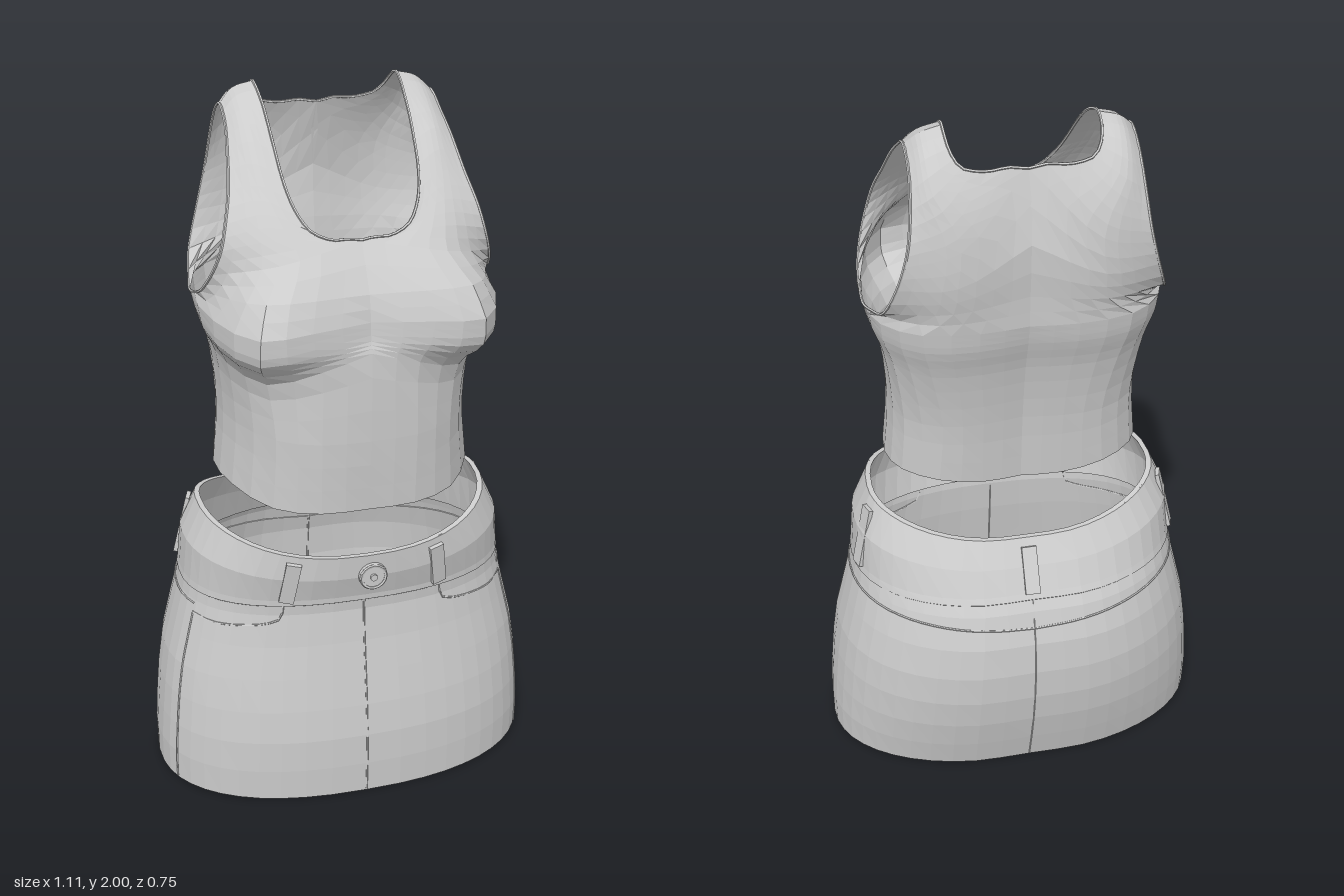
import * as THREE from 'three';

const V = (x, y, z) => new THREE.Vector3(x, y, z);
const flip = p => V(-p.x, p.y, p.z);
const fabric = new THREE.MeshStandardMaterial({ color: 0xcccccc, flatShading: true, side: THREE.DoubleSide });
fabric.name = 'grey fabric';

function addMesh(group, name, geometry) {
  const mesh = new THREE.Mesh(geometry, fabric);
  mesh.name = name;
  group.add(mesh);
  return mesh;
}

// Surface through a grid of points: rows run up, columns run to the right
function gridGeometry(rows) {
  const n = rows[0].length, index = [];
  for (let i = 0; i < rows.length - 1; i++)
    for (let j = 0; j < n - 1; j++) {
      const a = i * n + j, b = a + n;
      index.push(a, a + 1, b, a + 1, b + 1, b);
    }
  const g = new THREE.BufferGeometry().setFromPoints(rows.flat());
  g.setIndex(index);
  g.computeVertexNormals();
  return g;
}

// Smooth resampling along one list of points, and along the columns of a grid
function resample(points, steps) {
  const curve = new THREE.CatmullRomCurve3(points);
  return Array.from({ length: steps + 1 }, (_, i) => curve.getPoint(i / steps));
}
function refineRows(rows, perRow) {
  const cols = rows[0].map((_, j) => resample(rows.map(r => r[j]), (rows.length - 1) * perRow));
  return cols[0].map((_, i) => cols.map(c => c[i]));
}

function cord(group, name, points, radius, closed) {
  const curve = new THREE.CatmullRomCurve3(points, closed);
  return addMesh(group, name, new THREE.TubeGeometry(curve, points.length * 2, radius, 5, closed));
}

// Joins a half outline starting and ending on the centre plane with its mirror
const closeHalf = half => [...half, ...half.slice(1, -1).reverse().map(flip)];

// ---------- Tank top ----------

// Half rings from front centre to back centre: [heights, x, z]
const BODY = [
  [[.94, .94, .945, .965, .972, .975, .965, .945, .94],
    [0, .13, .25, .335, .36, .325, .23, .11, 0], [.33, .325, .27, .14, 0, -.1, -.16, -.165, -.15]],
  [[1.15, 1.15, 1.15, 1.15, 1.15, 1.15, 1.15, 1.15, 1.15],
    [0, .13, .24, .32, .345, .315, .22, .11, 0], [.345, .335, .275, .14, 0, -.11, -.175, -.185, -.17]],
  [[1.4, 1.36, 1.31, 1.33, 1.34, 1.34, 1.33, 1.33, 1.33],
    [0, .13, .26, .34, .36, .34, .25, .12, 0], [.345, .34, .27, .15, 0, -.13, -.205, -.22, -.205]],
  [[1.43, 1.415, 1.4, 1.41, 1.42, 1.42, 1.42, 1.42, 1.42],
    [0, .15, .295, .378, .39, .365, .27, .13, 0], [.335, .362, .36, .2, 0, -.14, -.23, -.25, -.235]],
  [[1.48, 1.48, 1.475, 1.475, 1.475, 1.475, 1.48, 1.48, 1.48],
    [0, .16, .295, .382, .4, .37, .275, .13, 0], [.33, .365, .37, .2, -.03, -.15, -.24, -.262, -.25]],
];

// Strap rows running up the chest, over the shoulder and down the back:
// neckline edge, middle, armhole edge
const STRAP = [
  [0, 1.55, .315, .27, 1.555, .33, .395, 1.515, .09],
  [0, 1.67, .24, .22, 1.63, .268, .375, 1.58, .155],
  [.07, 1.675, .24, .225, 1.685, .23, .352, 1.65, .178],
  [.13, 1.7, .225, .235, 1.74, .188, .335, 1.715, .16],
  [.17, 1.77, .172, .245, 1.8, .135, .315, 1.785, .11],
  [.185, 1.87, .078, .25, 1.89, .05, .3, 1.865, .035],
  [.19, 1.96, -.03, .25, 1.95, -.035, .29, 1.915, -.03],
  [.195, 2, -.13, .25, 1.985, -.13, .288, 1.95, -.11],
  [.19, 1.965, -.19, .25, 1.945, -.2, .288, 1.91, -.19],
  [.165, 1.925, -.22, .24, 1.87, -.25, .295, 1.83, -.235],
  [.1, 1.912, -.225, .2, 1.8, -.275, .305, 1.75, -.257],
  [0, 1.908, -.22, .18, 1.73, -.285, .318, 1.69, -.258],
  [0, 1.72, -.265, .19, 1.63, -.285, .338, 1.62, -.245],
  [0, 1.57, -.255, .2, 1.55, -.27, .37, 1.53, -.195],
];

function buildTop() {
  const top = new THREE.Group();
  top.name = 'tankTop';

  const rings = BODY.map(([y, x, z]) => resample(x.map((v, i) => V(v, y[i], z[i])), 16));
  const body = refineRows(rings, 3);
  const armpit = rings[rings.length - 1];
  const straps = STRAP.map(r => resample([0, 3, 6].map(k => V(r[k], r[k + 1], r[k + 2])), 8));
  const upper = refineRows([armpit.slice(0, 9), ...straps, armpit.slice(8).reverse()], 2);

  for (const [side, mirrored] of [['left', false], ['right', true]]) {
    const place = rows => mirrored ? rows.map(r => r.map(flip).reverse()) : rows;
    addMesh(top, side + 'Bodice', gridGeometry(place(body)));
    addMesh(top, side + 'ShoulderStrap', gridGeometry(place(upper)));
    const arm = upper.slice(0, -1).map(r => r[8]);
    cord(top, side + 'ArmholeBinding', mirrored ? arm.map(flip) : arm, .004, true);
  }
  cord(top, 'necklineBinding', closeHalf(upper.slice(4, 25).map(r => r[0])), .004, true);

  // Turned-in hem band
  const hem = closeHalf(body[0]);
  hem.push(hem[0]);
  const inner = dy => hem.map(p => V(p.x * .97, p.y + dy, p.z * .97));
  addMesh(top, 'topHem', gridGeometry([inner(.04), inner(0), hem]));
  return top;
}

// ---------- Skirt ----------

// Height, half width, front depth, back depth
const SKIRT = [
  [0, .557, .33, .305], [.1, .557, .335, .335], [.2, .55, .335, .362], [.3, .54, .325, .38],
  [.4, .525, .31, .386], [.5, .5, .295, .378], [.6, .475, .285, .35], [.65, .465, .29, .322],
  [.72, .455, .312, .288], [.79, .412, .318, .245],
];

// Point on the skirt: angle 0 is front centre, a quarter turn is the left side
function onSkirt(angle, y, offset = 0) {
  let k = 0;
  while (k < SKIRT.length - 2 && y > SKIRT[k + 1][0]) k++;
  const t = (y - SKIRT[k][0]) / (SKIRT[k + 1][0] - SKIRT[k][0]);
  const [w, front, back] = [1, 2, 3].map(c => THREE.MathUtils.lerp(SKIRT[k][c], SKIRT[k + 1][c], t) + offset);
  const s = Math.sin(angle), c = Math.cos(angle);
  const round = v => Math.sign(v) * Math.abs(v) ** (c > 0 ? .83 : .9);
  const dent = c < 0 ? 1 - .035 * Math.exp(-((s / .2) ** 2)) : 1;
  const rise = .015 * (1 - THREE.MathUtils.smoothstep(y, 0, .2)) + .07 * THREE.MathUtils.smoothstep(y, .62, .79);
  return V(w * round(s), y + rise * s * s, (c > 0 ? front : back) * round(c) * dent);
}

const skirtRing = (y, offset) =>
  Array.from({ length: 49 }, (_, i) => onSkirt(i / 48 * Math.PI * 2, y, offset));

function buildSkirt() {
  const skirt = new THREE.Group();
  skirt.name = 'skirt';

  addMesh(skirt, 'skirtShell', gridGeometry(SKIRT.map(r => skirtRing(r[0], 0))));
  addMesh(skirt, 'skirtHem', gridGeometry([skirtRing(.04, -.012), skirtRing(0, -.012), skirtRing(0, 0)]));
  // Waistband wraps over the top edge
  addMesh(skirt, 'waistband', gridGeometry([
    skirtRing(.63, 0), skirtRing(.633, .004), skirtRing(.65, .004), skirtRing(.72, .004), skirtRing(.79, .003),
    skirtRing(.79, -.012), skirtRing(.72, -.012), skirtRing(.63, -.012),
  ]));

  // Seams follow the surface as lists of [angle, height]
  const seam = (name, path) => cord(skirt, name, path.map(([a, y]) => onSkirt(a, y)), .003, false);
  const upright = (angle, y0, y1) =>
    Array.from({ length: 9 }, (_, i) => [angle, THREE.MathUtils.lerp(y0, y1, i / 8)]);
  seam('frontSeam', upright(0, .005, .64));
  seam('backSeam', upright(Math.PI, .005, .64));
  for (const [side, s] of [['left', 1], ['right', -1]]) {
    seam(side + 'SideSeam', upright(s * 1.2, .005, .56));
    seam(side + 'PocketEdge', [[.43, .635], [.44, .59], [.52, .575], [.72, .565], [.95, .56], [1.2, .565]]
      .map(([a, y]) => [s * a, y]));
    seam(side + 'BackYokeSeam', Array.from({ length: 11 }, (_, i) =>
      [s * (1.2 + i / 10 * (Math.PI - 1.2)), .59 - .04 * (i / 10) ** 2]));
  }

  // Belt loops stand on the waistband
  const beltLoop = (name, angle) => {
    const low = onSkirt(angle, .65, .009), high = onSkirt(angle, .77, .009);
    const up = high.clone().sub(low), height = up.length();
    up.normalize();
    const tangent = onSkirt(angle + .03, .71).sub(onSkirt(angle - .03, .71));
    const out = tangent.cross(up).normalize();
    const across = up.clone().cross(out);
    const loop = addMesh(skirt, name, new THREE.BoxGeometry(.042, height, .012));
    loop.quaternion.setFromRotationMatrix(new THREE.Matrix4().makeBasis(across, up, out));
    loop.position.copy(low).add(high).multiplyScalar(.5);
  };
  for (const [side, s] of [['left', 1], ['right', -1]]) {
    beltLoop(side + 'FrontBeltLoop', s * .41);
    beltLoop(side + 'SideBeltLoop', s * 1.8);
  }
  beltLoop('backBeltLoop', Math.PI);

  // Waist button with a raised rim and centre stud
  const button = new THREE.Group();
  button.name = 'button';
  const disc = (name, r, depth, z) => {
    const m = addMesh(button, name, new THREE.CylinderGeometry(r, r, depth, 16));
    m.rotation.x = Math.PI / 2;
    m.position.z = z;
  };
  disc('buttonDisc', .04, .014, 0);
  disc('buttonStud', .01, .008, .01);
  addMesh(button, 'buttonRim', new THREE.TorusGeometry(.035, .005, 5, 16)).position.z = .006;
  button.position.set(.015, .725, .322);
  skirt.add(button);
  return skirt;
}

export function createModel() {
  const model = new THREE.Group();
  model.name = 'outfit';
  model.add(buildTop(), buildSkirt());
  return model;
}
